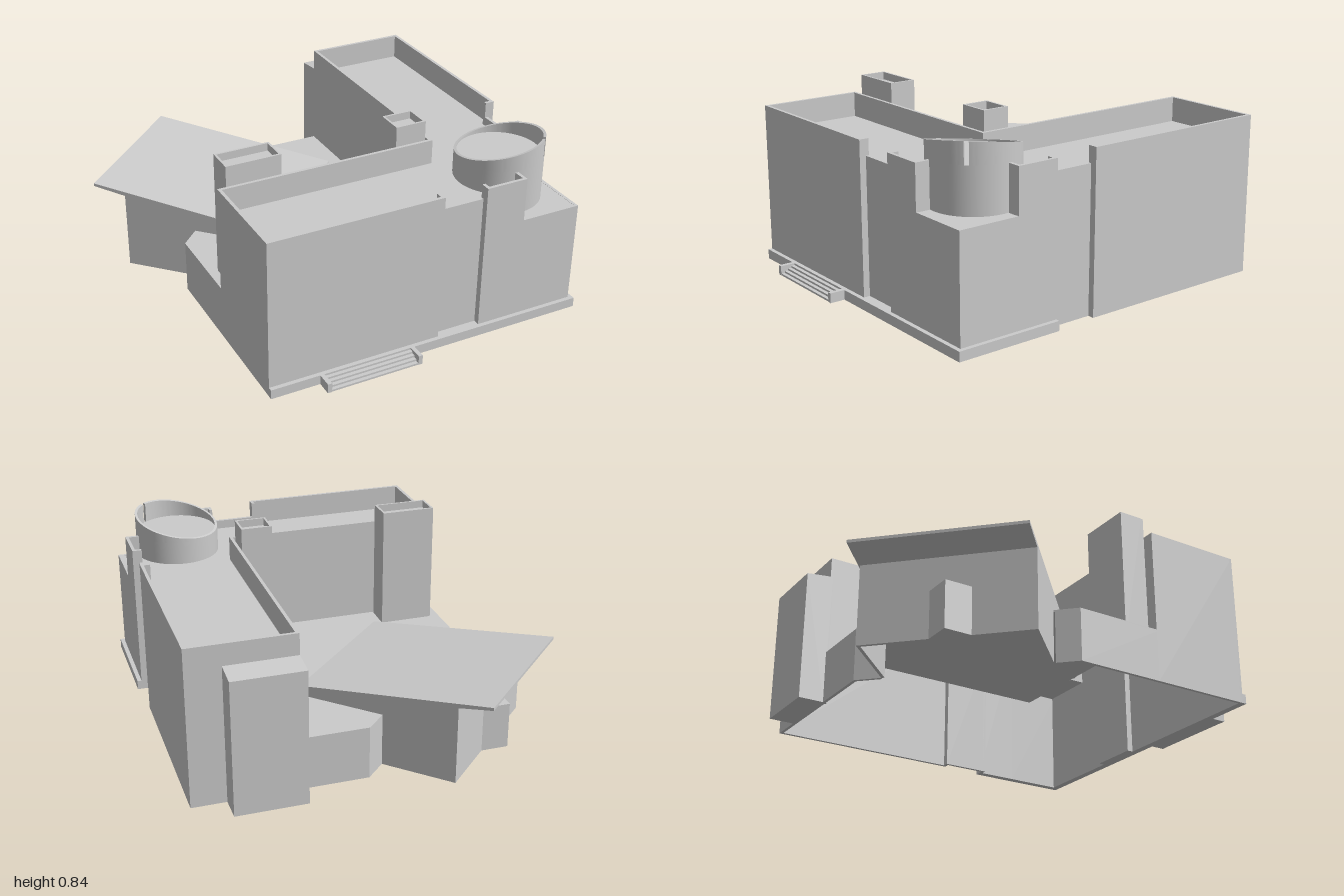
import * as THREE from 'three';
import { toCreasedNormals } from 'three/addons/utils/BufferGeometryUtils.js';

const T = 0.015; // wall thickness
const TOP = 0.746, DECK = 0.63, TERRACE = 0.25;

export function createModel() {
  const root = new THREE.Group();
  root.name = 'building';
  const mat = new THREE.MeshStandardMaterial({ color: 0xcccccc, side: THREE.DoubleSide });

  const add = (name, geo, parent = root) => {
    const m = new THREE.Mesh(geo, mat);
    m.name = name;
    parent.add(m);
    return m;
  };
  const group = (name) => {
    const g = new THREE.Group();
    g.name = name;
    root.add(g);
    return g;
  };
  // axis-aligned block from its extents
  const block = (name, x0, x1, y0, y1, z0, z1, parent) =>
    add(name, new THREE.BoxGeometry(x1 - x0, y1 - y0, z1 - z0)
      .translate((x0 + x1) / 2, (y0 + y1) / 2, (z0 + z1) / 2), parent);
  const shapeOf = (pts) => new THREE.Shape(pts.map(([a, b]) => new THREE.Vector2(a, b)));
  // plan polygon (x, z) raised from y0 to y1
  const slab = (name, pts, y0, y1, parent) =>
    add(name, new THREE.ExtrudeGeometry(shapeOf(pts.map(([x, z]) => [x, -z])), { depth: y1 - y0, bevelEnabled: false })
      .rotateX(-Math.PI / 2).translate(0, y0, 0), parent);
  // side profile extruded from d0 to d1, then turned about y
  const prism = (name, pts, d0, d1, turn, parent) =>
    add(name, new THREE.ExtrudeGeometry(shapeOf(pts), { depth: d1 - d0, bevelEnabled: false })
      .translate(0, 0, d0).rotateY(turn), parent);

  // outer walls of the two wings, with recessed bays beside the corner
  const walls = group('wingWalls');
  [
    ['frontWall', -0.63, 0.19, 0, TOP, 0.91 - T, 0.91],
    ['frontBayJamb', 0.19 - T, 0.19, 0, TOP, 0.865, 0.91],
    ['frontBayWall', 0.19 - T, 0.415, 0, 0.672, 0.865, 0.88],
    ['frontBayJamb', 0.4, 0.4 + T, 0, 0.735, 0.865, 0.91],
    ['cornerFrontWall', 0.4, 0.6, 0, 0.735, 0.91 - T, 0.91],
    ['cornerFrontLowWall', 0.6, 0.89, 0, 0.53, 0.91 - T, 0.91],
    ['cornerSideLowWall', 0.89 - T, 0.89, 0, 0.53, 0.62, 0.91],
    ['cornerSideWall', 0.89 - T, 0.89, 0, 0.735, 0.42, 0.62],
    ['sideBayJamb', 0.845, 0.89, 0, 0.735, 0.42, 0.42 + T],
    ['sideBayWall', 0.845, 0.86, 0, 0.672, 0.2, 0.435],
    ['sideBayJamb', 0.845, 0.89, 0, TOP, 0.215 - T, 0.215],
    ['sideWall', 0.89 - T, 0.89, 0, TOP, -0.72, 0.215],
    ['backWall', 0.4, 0.89, 0, TOP, -0.72, -0.72 + T],
    ['endWall', -0.63, -0.63 + T, 0, TOP, 0.42, 0.91],
    ['courtWall', -0.63, 0.4 + T, TERRACE, TOP, 0.42, 0.42 + T],
    ['courtSideWall', 0.4, 0.4 + T, TERRACE, TOP, -0.72, 0.42 + T],
    ['courtSideEndWall', 0.4, 0.4 + T, 0, TERRACE, -0.72, -0.7],
  ].forEach(([name, ...e]) => block(name, ...e, walls));

  // flat roof, stepping down at the corner
  slab('roofDeck', [[-0.62, 0.43], [0.41, 0.43], [0.41, -0.71], [0.88, -0.71], [0.88, 0.205], [0.85, 0.205],
    [0.85, 0.43], [0.88, 0.43], [0.88, 0.62], [0.6, 0.62], [0.6, 0.9], [0.41, 0.9], [0.41, 0.87], [0.18, 0.87],
    [0.18, 0.9], [-0.62, 0.9]], DECK - 0.01, DECK);
  block('cornerLedge', 0.6, 0.885, 0.52, 0.529, 0.62, 0.905);
  block('ledgeWall', 0.6 - T, 0.6, 0.52, 0.735, 0.82, 0.905);
  block('ledgeWall', 0.81, 0.885, 0.52, 0.735, 0.62 - T, 0.62);

  // round corner turret with a slanted, slotted rim
  const turret = group('turret');
  turret.position.set(0.63, 0, 0.645);
  const R = 0.2;
  add('turretBody', new THREE.CylinderGeometry(R, R, 0.21, 64).translate(0, 0.635, 0), turret);
  const rim = new THREE.Shape();
  const gap = 0.05, mid = -Math.PI / 4; // slot faces the outer corner
  rim.absarc(0, 0, R, mid + gap, mid + 2 * Math.PI - gap, false);
  rim.absarc(0, 0, R - 0.012, mid + 2 * Math.PI - gap, mid + gap, true);
  const rimGeo = new THREE.ExtrudeGeometry(rim, { depth: 1, bevelEnabled: false, curveSegments: 64 }).rotateX(-Math.PI / 2);
  const p = rimGeo.attributes.position;
  for (let i = 0; i < p.count; i++) {
    const slant = 0.791 + 0.046 * (p.getX(i) + p.getZ(i)) / (Math.SQRT2 * R);
    p.setY(i, p.getY(i) > 0.5 ? slant : 0.74);
  }
  add('turretRim', toCreasedNormals(rimGeo, 0.6), turret);

  // low terrace in the angle of the wings
  slab('terraceDeck', [[-0.63, 0.42], [-0.63, 0], [0.09, -0.72], [0.4, -0.72], [0.4, 0.42]], TERRACE - 0.01, TERRACE);
  block('terraceSideWall', -0.63, -0.63 + T, 0, TERRACE - 0.01, 0, 0.42);
  block('terraceBackWall', 0.09, 0.4, 0, TERRACE - 0.01, -0.72, -0.72 + T);
  slab('terraceChamferWall', [[-0.63, 0], [-0.55, -0.08], [-0.54, -0.07], [-0.62, 0.01]], 0, TERRACE - 0.01);
  slab('terraceChamferWall', [[0, -0.63], [0.09, -0.72], [0.1, -0.71], [0.01, -0.62]], 0, TERRACE - 0.01);

  // diagonal annex with a sloping roof
  const annex = group('annex');
  const turn = -Math.PI / 4;
  prism('annexRoof', [[-0.96, 0.4], [-0.035, 0.251], [-0.035, 0.3], [-0.96, 0.414]], -0.4525, 0.325, turn, annex);
  const side = [[-0.8, 0], [-0.445, 0], [-0.445, TERRACE], [-0.04, TERRACE], [-0.04, 0.26], [-0.8, 0.38]];
  prism('annexSideWall', side, -0.445, -0.445 + T, turn, annex);
  prism('annexSideWall', side, 0.325 - T, 0.325, turn, annex);
  prism('annexOuterWall', [[-0.8, 0], [-0.8 + T, 0], [-0.8 + T, 0.378], [-0.8, 0.38]], -0.445, 0.325, turn, annex);
  slab('annexCornerBay', [[-0.47, -0.66], [-0.6, -0.53], [-0.6, -0.66]], 0, 0.22, annex);

  // rear projection with a slightly sloping top
  prism('rearProjection', [[0.72, 0], [0.84, 0], [0.84, 0.632], [0.72, 0.646]], 0.4, 0.73, Math.PI / 2);

  // shafts against the court wall, each with a sunken cap
  [[-0.585, -0.325], [0.24, 0.39]].forEach(([x0, x1]) => {
    const g = group('shaft');
    const z0 = 0.28, z1 = 0.41, top = 0.836, t = 0.01;
    block('shaftWall', x0, x1, TERRACE, top, z0, z0 + t, g);
    block('shaftWall', x0, x1, TERRACE, top, z1 - t, z1, g);
    block('shaftWall', x0, x0 + t, TERRACE, top, z0 + t, z1 - t, g);
    block('shaftWall', x1 - t, x1, TERRACE, top, z0 + t, z1 - t, g);
    block('shaftCap', x0 + t, x1 - t, 0.79, 0.8, z0 + t, z1 - t, g);
  });

  // plinth and entrance steps
  block('frontPlinth', -0.63, 0.91, 0, 0.045, 0.905, 0.93);
  block('frontBayPlinth', 0.19, 0.4, 0, 0.045, 0.875, 0.91);
  block('sidePlinth', 0.885, 0.91, 0, 0.045, 0.42, 0.91);
  const steps = group('entranceSteps');
  [[-0.4, -0.38], [0.04, 0.06]].forEach(([a, b]) => block('stepCheek', a, b, 0, 0.045, 0.93, 1, steps));
  for (let i = 0; i < 4; i++)
    block('step', -0.38, 0.04, 0, 0.036 - i * 0.009, 0.93 + i * 0.017, 0.947 + i * 0.017, steps);

  return root;
}
